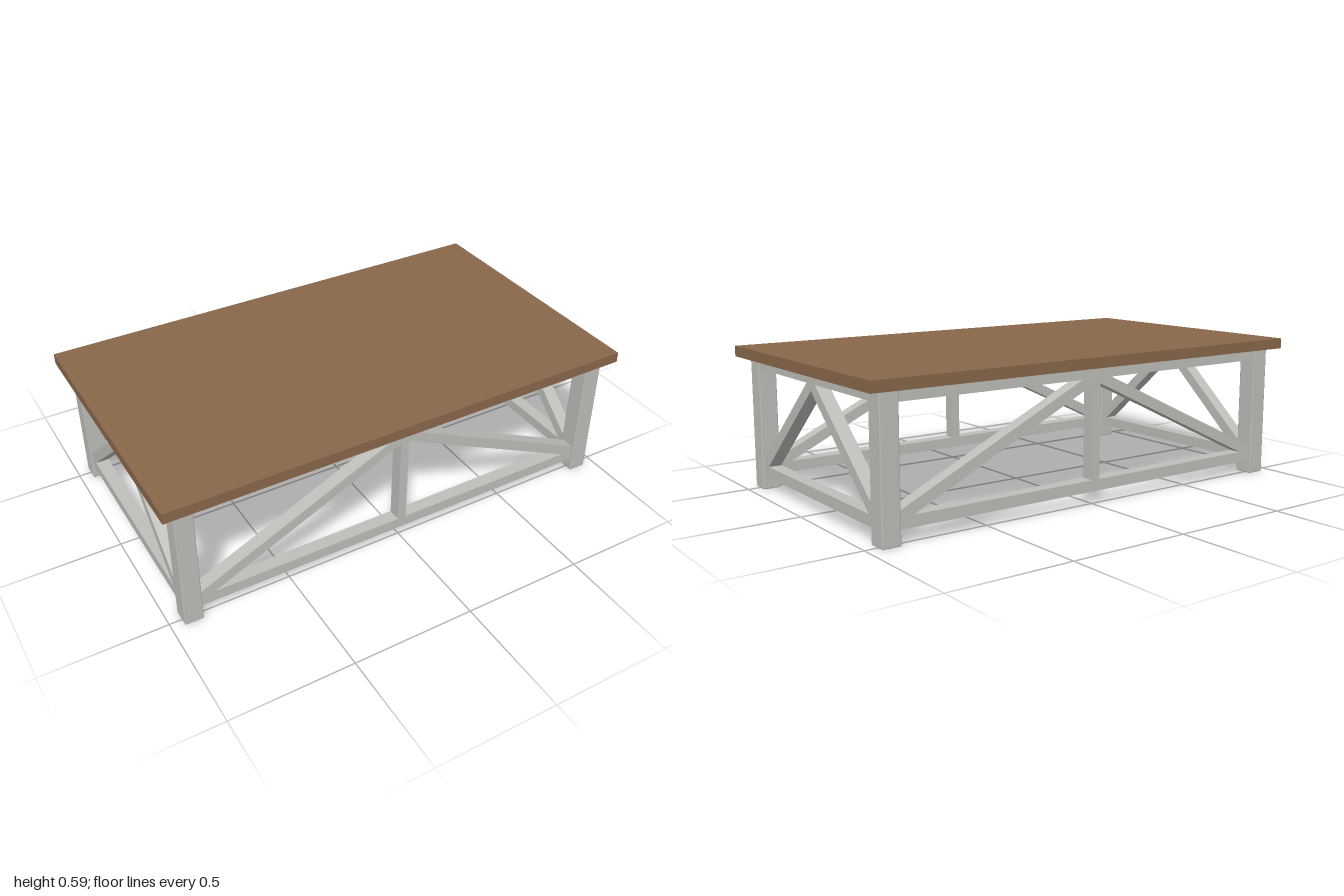
import * as THREE from 'three';
import { RoundedBoxGeometry } from 'three/addons/geometries/RoundedBoxGeometry.js';

const wood = new THREE.MeshStandardMaterial({ color: 0x89674b });
wood.name = 'brown wood';
const paint = new THREE.MeshStandardMaterial({ color: 0xbebfba });
paint.name = 'grey paint';

const DEPTH = 0.055; // thickness of rails and braces

function box(name, w, h, d, x, y, z, material) {
  const mesh = new THREE.Mesh(new THREE.BoxGeometry(w, h, d), material);
  mesh.name = name;
  mesh.position.set(x, y, z);
  return mesh;
}

// Diagonal brace: a flat outline extruded to the frame thickness
function brace(name, points, mirror) {
  const shape = new THREE.Shape(points.map(([x, y]) => new THREE.Vector2(x * mirror, y)));
  const geometry = new THREE.ExtrudeGeometry(shape, { depth: DEPTH, bevelEnabled: false });
  geometry.translate(0, 0, -DEPTH / 2);
  const mesh = new THREE.Mesh(geometry, paint);
  mesh.name = name;
  return mesh;
}

// Trussed frame between two legs: top and bottom rails with mirrored braces
function frame(name, halfSpan, points) {
  const group = new THREE.Group();
  group.name = name;
  group.add(box('topRail', halfSpan * 2, 0.046, DEPTH, 0, 0.522, 0, paint));
  group.add(box('bottomRail', halfSpan * 2, 0.045, DEPTH, 0, 0.0785, 0, paint));
  group.add(brace('leftBrace', points, 1), brace('rightBrace', points, -1));
  return group;
}

export function createModel() {
  const table = new THREE.Group();
  table.name = 'coffeeTable';

  table.add(box('tableTop', 2, 0.043, 1.142, 0, 0.5665, 0, wood));

  // Legs with slightly softened feet
  const legGeometry = new RoundedBoxGeometry(0.076, 0.555, 0.078, 1, 0.005);
  for (const sx of [-1, 1]) {
    for (const sz of [-1, 1]) {
      const leg = new THREE.Mesh(legGeometry, paint);
      leg.name = `${sz > 0 ? 'front' : 'back'}${sx > 0 ? 'Left' : 'Right'}Leg`;
      leg.position.set(sx * 0.912, 0.2775, sz * 0.496);
      table.add(leg);
    }
  }

  // Long frames with a centre post
  const longBrace = [[0.875, 0.1], [0.875, 0.123], [0.07, 0.5], [0.018, 0.5], [0.018, 0.477], [0.82, 0.1]];
  // Short frames, whose braces meet in the middle
  const shortBrace = [[0.458, 0.1], [0.458, 0.13], [0.033, 0.5], [0, 0.5], [0, 0.472], [0.425, 0.1]];

  for (const s of [1, -1]) {
    const long = frame(s > 0 ? 'frontFrame' : 'backFrame', 0.875, longBrace);
    long.add(box('centrePost', 0.036, 0.4, DEPTH, 0, 0.3, 0, paint));
    long.position.z = s * 0.496;
    table.add(long);

    const short = frame(s > 0 ? 'leftFrame' : 'rightFrame', 0.458, shortBrace);
    short.rotation.y = Math.PI / 2;
    short.position.x = s * 0.912;
    table.add(short);
  }

  return table;
}
